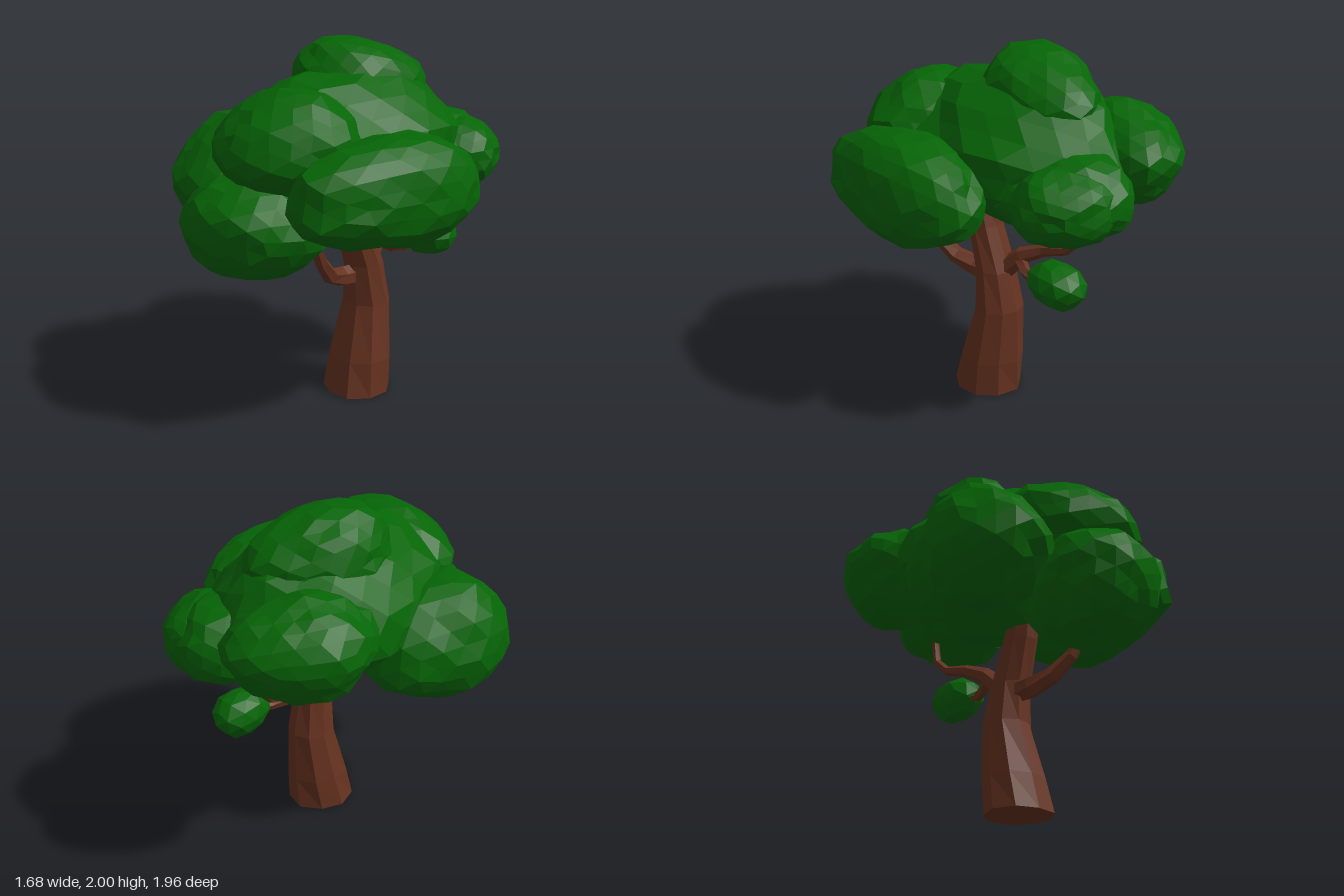
import * as THREE from 'three';

const leaf = new THREE.MeshStandardMaterial({ color: 0x066506, flatShading: true });
leaf.name = 'leafGreen';
const bark = new THREE.MeshStandardMaterial({ color: 0x673320, flatShading: true });
bark.name = 'barkBrown';

// Lumpy faceted clump: centre, half sizes, yaw, pitch
function clump(name, seed, [x, y, z], half, yaw = 0, pitch = 0, detail = 3) {
  const geo = new THREE.IcosahedronGeometry(1, detail);
  const pos = geo.attributes.position;
  const v = new THREE.Vector3();
  for (let i = 0; i < pos.count; i++) {
    v.fromBufferAttribute(pos, i);
    const lump = 0.03 * Math.sin(4.1 * v.x + seed) + 0.03 * Math.sin(4.7 * v.y + 2 * seed)
      + 0.03 * Math.sin(5.3 * v.z + 3 * seed)
      + 0.025 * Math.sin(9 * v.x + 13 * v.y - 8 * v.z + 5 * seed)
      + 0.015 * Math.sin(23 * v.x - 19 * v.y + 21 * v.z + seed);
    v.multiplyScalar(1 + lump);
    pos.setXYZ(i, v.x, v.y, v.z);
  }
  // Bring the lumpy ball to its exact half sizes
  geo.center();
  const max = geo.boundingBox.getSize(new THREE.Vector3()).multiplyScalar(0.5);
  geo.scale(half[0] / max.x, half[1] / max.y, half[2] / max.z);
  geo.computeVertexNormals();
  const mesh = new THREE.Mesh(geo, leaf);
  mesh.name = name;
  mesh.position.set(x, y, z);
  mesh.rotation.set(pitch, yaw, 0, 'YXZ');
  return mesh;
}

// Tapered limb through [x, y, z, radius] stations, closed at both ends
function limb(name, stations, sides, level = false) {
  const pts = stations.map((s) => new THREE.Vector3(s[0], s[1], s[2]));
  const up = new THREE.Vector3(0, 1, 0);
  const verts = [];
  const index = [];
  const last = pts.length - 1;
  pts.forEach((p, i) => {
    const dir = pts[Math.min(i + 1, last)].clone().sub(pts[Math.max(i - 1, 0)]).normalize();
    const q = new THREE.Quaternion();
    if (!level) q.setFromUnitVectors(up, dir);
    for (let j = 0; j < sides; j++) {
      const a = ((j + 0.5) / sides) * Math.PI * 2 + (level ? i * 0.07 : 0);
      const r = stations[i][3] * (1 + 0.04 * Math.sin(j * 2.3 + i));
      const v = new THREE.Vector3(Math.cos(a) * r, 0, Math.sin(a) * r).applyQuaternion(q).add(p);
      verts.push(v.x, v.y, v.z);
    }
  });
  const bottom = verts.length / 3;
  verts.push(...pts[0].toArray(), ...pts[last].toArray());
  for (let j = 0; j < sides; j++) {
    const k = (j + 1) % sides;
    for (let i = 0; i < last; i++) {
      const a = i * sides + j, b = a + sides, d = i * sides + k, c = d + sides;
      index.push(a, b, c, a, c, d);
    }
    index.push(bottom, j, k, bottom + 1, last * sides + k, last * sides + j);
  }
  const geo = new THREE.BufferGeometry();
  geo.setAttribute('position', new THREE.Float32BufferAttribute(verts, 3));
  geo.setIndex(index);
  geo.computeVertexNormals();
  const mesh = new THREE.Mesh(geo, bark);
  mesh.name = name;
  return mesh;
}

export function createModel() {
  const tree = new THREE.Group();
  tree.name = 'tree';

  // Trunk leaning back, then forward into the crown
  tree.add(limb('trunk', [
    [0.115, 0, -0.036, 0.193], [0.115, 0.2, -0.065, 0.177], [0.108, 0.52, -0.112, 0.135],
    [0.11, 0.75, -0.085, 0.112], [0.105, 1.0, -0.005, 0.1], [0.1, 1.2, 0.04, 0.095],
  ], 9, true));

  // Branches
  tree.add(limb('frontBranch', [
    [0.1, 0.69, -0.06, 0.065], [0.1, 0.7, 0.08, 0.058], [0.14, 0.745, 0.2, 0.048],
    [0.19, 0.85, 0.3, 0.038], [0.22, 0.96, 0.36, 0.026],
  ], 6));
  tree.add(limb('backBranch', [
    [0.1, 0.73, -0.12, 0.065], [0.06, 0.85, -0.24, 0.05], [0.02, 0.905, -0.36, 0.036],
    [0, 0.94, -0.5, 0.028], [-0.02, 1.01, -0.57, 0.026], [-0.02, 1.15, -0.59, 0.022],
  ], 6));
  tree.add(limb('backTwig', [
    [0.07, 0.84, -0.23, 0.036], [0.11, 0.79, -0.31, 0.031],
    [0.14, 0.78, -0.39, 0.027], [0.16, 0.81, -0.5, 0.02],
  ], 5));

  // Crown
  const crown = new THREE.Group();
  crown.name = 'crown';
  crown.add(
    clump('middleFoliage', 1.3, [-0.05, 1.455, -0.09], [0.54, 0.42, 0.73]),
    clump('topFoliage', 2.1, [-0.075, 1.73, -0.24], [0.31, 0.245, 0.41], -0.35, -0.22),
    clump('upperFrontFoliage', 0.6, [0.04, 1.49, 0.43], [0.45, 0.31, 0.4], 0.05, 0.15),
    clump('frontFoliage', 3.7, [0.02, 1.085, 0.58], [0.37, 0.29, 0.39], 0, -0.12),
    clump('rightFoliage', 4.4, [-0.485, 1.235, 0.265], [0.35, 0.345, 0.455], -0.15),
    clump('leftFoliage', 5.2, [0.535, 1.3, 0.16], [0.295, 0.29, 0.57], -0.13),
    clump('backRightFoliage', 6.5, [-0.37, 1.435, -0.605], [0.29, 0.295, 0.405], -0.45),
    clump('backFoliage', 7.9, [0.13, 1.35, -0.55], [0.31, 0.24, 0.42], 0.1),
    clump('backLeftFoliage', 8.6, [0.25, 1.325, -0.68], [0.28, 0.215, 0.28]),
    clump('twigFoliage', 9.8, [0.17, 0.82, -0.585], [0.135, 0.122, 0.175], 0, -0.1, 1),
  );
  tree.add(crown);
  return tree;
}
